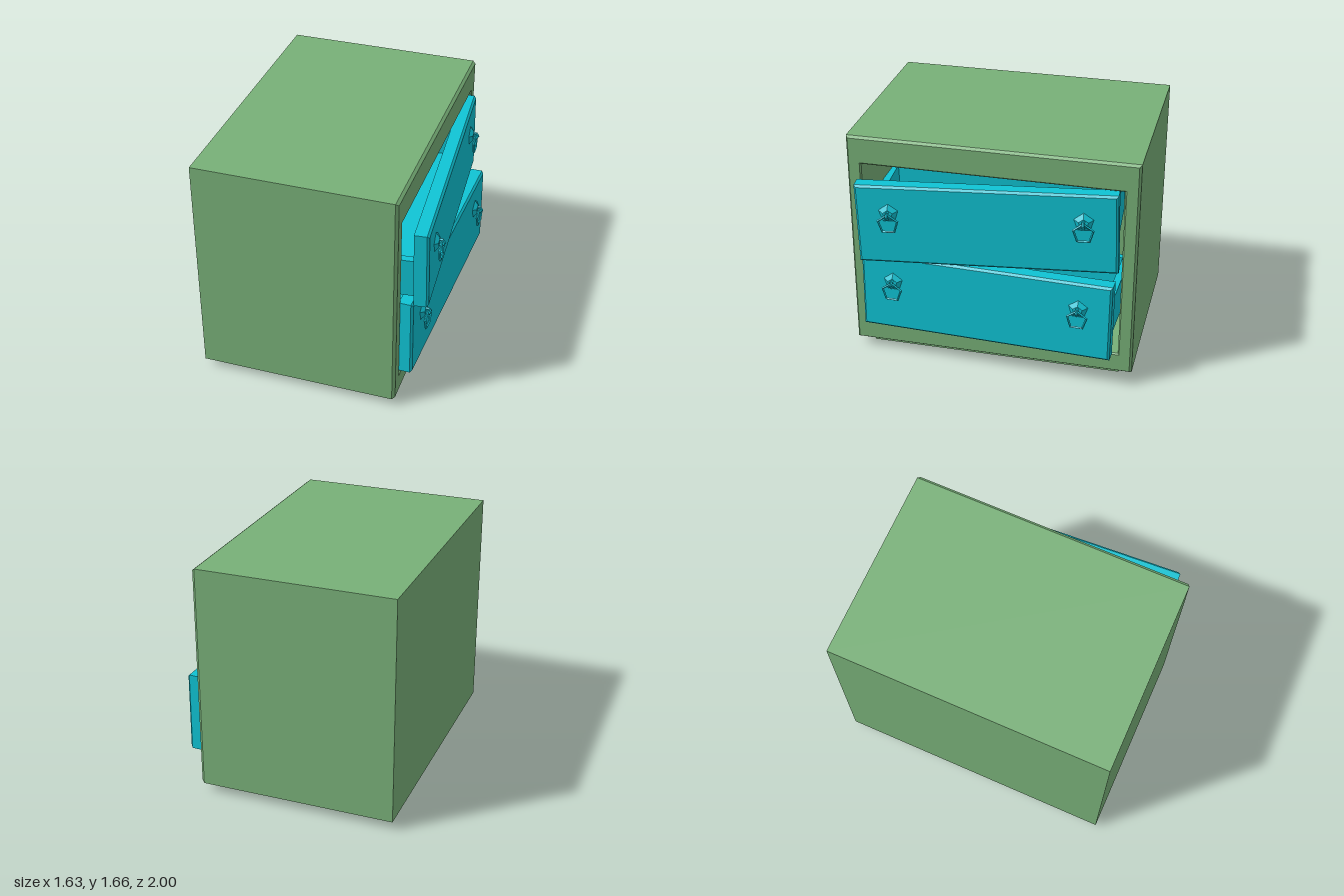
import * as THREE from 'three';

const green = new THREE.MeshStandardMaterial({ color: 0x78b078, flatShading: true });
const cyan = new THREE.MeshStandardMaterial({ color: 0x0fc3d4, flatShading: true });

function part(name, geometry, material, x = 0, y = 0, z = 0) {
  const mesh = new THREE.Mesh(geometry, material);
  mesh.name = name;
  mesh.position.set(x, y, z);
  return mesh;
}

// Skin rectangular cross-sections [x, half height, half width, centre y] along x, capped at both ends
function rectLoft(sections) {
  const positions = [];
  const loops = sections.map(([x, h, w, y = 0]) => [
    [x, y - h, -w], [x, y + h, -w], [x, y + h, w], [x, y - h, w],
  ]);
  const quad = (a, b, c, d) => positions.push(...a, ...b, ...c, ...a, ...c, ...d);
  for (let s = 0; s < loops.length - 1; s++) {
    for (let i = 0; i < 4; i++) {
      const j = (i + 1) % 4;
      quad(loops[s][i], loops[s][j], loops[s + 1][j], loops[s + 1][i]);
    }
  }
  quad(...[...loops[0]].reverse());
  quad(...loops[loops.length - 1]);
  const geometry = new THREE.BufferGeometry();
  geometry.setAttribute('position', new THREE.Float32BufferAttribute(positions, 3));
  geometry.computeVertexNormals();
  return geometry;
}

// Pentagonal back plate, small eye and hanging five-sided ring
function makeHandle() {
  const handle = new THREE.Group();
  handle.name = 'handle';

  const plate = new THREE.CylinderGeometry(0.035, 0.07, 0.025, 5);
  plate.rotateY(-Math.PI / 2).rotateZ(-Math.PI / 2);
  // turn one corner of the plate upward
  plate.computeBoundingBox();
  if (plate.boundingBox.max.y < 0.069) plate.rotateX(Math.PI / 2);
  if (plate.boundingBox.max.y < -plate.boundingBox.min.y) plate.rotateX(Math.PI);
  handle.add(part('handlePlate', plate, cyan, 0.0125));

  const eye = new THREE.TorusGeometry(0.024, 0.011, 5, 6);
  handle.add(part('handleEye', eye, cyan, 0.032, -0.003));

  const ring = new THREE.TorusGeometry(0.07, 0.009, 4, 5);
  ring.rotateZ(Math.PI / 2).rotateY(Math.PI / 2);
  handle.add(part('handleRing', ring, cyan, 0.037, -0.063));
  return handle;
}

// Drawer with its front face at local x = 0
function makeDrawer(name) {
  const drawer = new THREE.Group();
  drawer.name = name;

  const h = 0.287, w = 0.885, bevel = 0.015;
  drawer.add(part('drawerFront', rectLoft([
    [-0.1, h, w], [-bevel, h, w], [0, h - bevel, w - bevel],
  ]), cyan));

  // Open tray behind the front panel
  const length = 0.8, bottom = -0.235, top = 0.05, wall = 0.05, half = 0.85;
  const midX = -0.1 - length / 2, midY = (bottom + top) / 2;
  for (const side of [-1, 1]) {
    drawer.add(part('drawerSide', new THREE.BoxGeometry(length, top - bottom, wall), cyan,
      midX, midY, side * (half - wall / 2)));
    const handle = makeHandle();
    handle.position.set(0, 0.09, side * 0.657);
    drawer.add(handle);
  }
  drawer.add(part('drawerFloor', new THREE.BoxGeometry(length, 0.04, 2 * (half - wall)), cyan,
    midX, bottom + 0.02));
  drawer.add(part('drawerBack', new THREE.BoxGeometry(wall, top - bottom, 2 * (half - wall)), cyan,
    -0.1 - length + wall / 2, midY));
  return drawer;
}

export function createModel() {
  const model = new THREE.Group();
  model.name = 'chestOfDrawers';

  // Hollow case: outer shell, chamfered front rim, then the cavity
  model.add(part('cabinet', rectLoft([
    [-0.82, 0.8, 1, 0.86],
    [0.56, 0.8, 1, 0.86],
    [0.58, 0.785, 0.985, 0.86],
    [0.58, 0.635, 0.91, 0.835],
    [0.57, 0.625, 0.9, 0.835],
    [-0.74, 0.625, 0.9, 0.835],
  ]), green));

  model.add(part('plinth', new THREE.BoxGeometry(1.24, 0.07, 1.8), green, -0.13, 0.035));

  // Drawers hang crooked in the opening
  const upper = makeDrawer('upperDrawer');
  upper.position.set(0.695, 1.13, 0.005);
  upper.rotation.set(0.034, 0.073, 0.01);
  model.add(upper);

  const lower = makeDrawer('lowerDrawer');
  lower.position.set(0.695, 0.53, 0.02);
  lower.rotation.set(-0.007, -0.031, 0.01);
  model.add(lower);

  return model;
}
